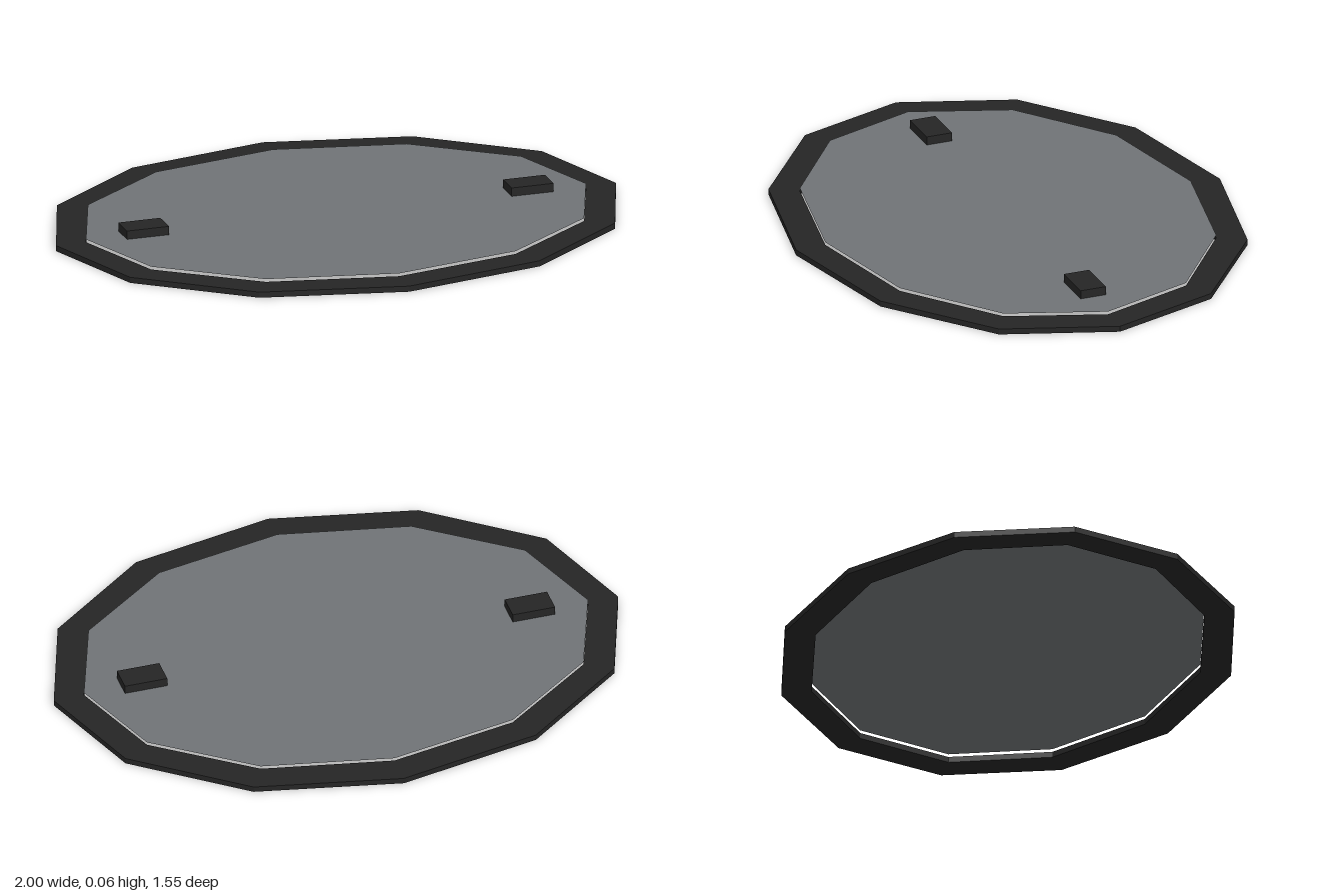
import * as THREE from 'three';

const SIDES = 12;

// Twelve-sided oval outline
function oval(rx, rz) {
  const points = [];
  for (let i = 0; i < SIDES; i++) {
    const a = (i / SIDES) * Math.PI * 2;
    points.push(new THREE.Vector2(rx * Math.cos(a), rz * Math.sin(a)));
  }
  return points;
}

export function createModel() {
  const model = new THREE.Group();
  const dark = new THREE.MeshStandardMaterial({ color: 0x252525, flatShading: true });
  const glass = new THREE.MeshStandardMaterial({ color: 0x707376, side: THREE.DoubleSide });

  const add = (name, geometry, material, x, y) => {
    const mesh = new THREE.Mesh(geometry, material);
    mesh.name = name;
    mesh.position.set(x, y, 0);
    model.add(mesh);
  };

  // Flat rim lying on the ground
  const rimShape = new THREE.Shape(oval(1, 0.775));
  rimShape.holes.push(new THREE.Path(oval(0.893, 0.668)));
  const rim = new THREE.ExtrudeGeometry(rimShape, { depth: 0.02, bevelEnabled: false });
  add('rim', rim.rotateX(-Math.PI / 2), dark, 0, 0);

  // Thin pane held just above the rim
  const pane = new THREE.ShapeGeometry(new THREE.Shape(oval(0.893, 0.668)));
  add('pane', pane.rotateX(-Math.PI / 2), glass, 0, 0.03);

  // Two small blocks resting on the pane
  for (const side of [1, -1]) {
    const block = new THREE.BoxGeometry(0.15, 0.03, 0.092);
    add(side > 0 ? 'leftBlock' : 'rightBlock', block, dark, side * 0.687, 0.0455);
  }

  return model;
}
